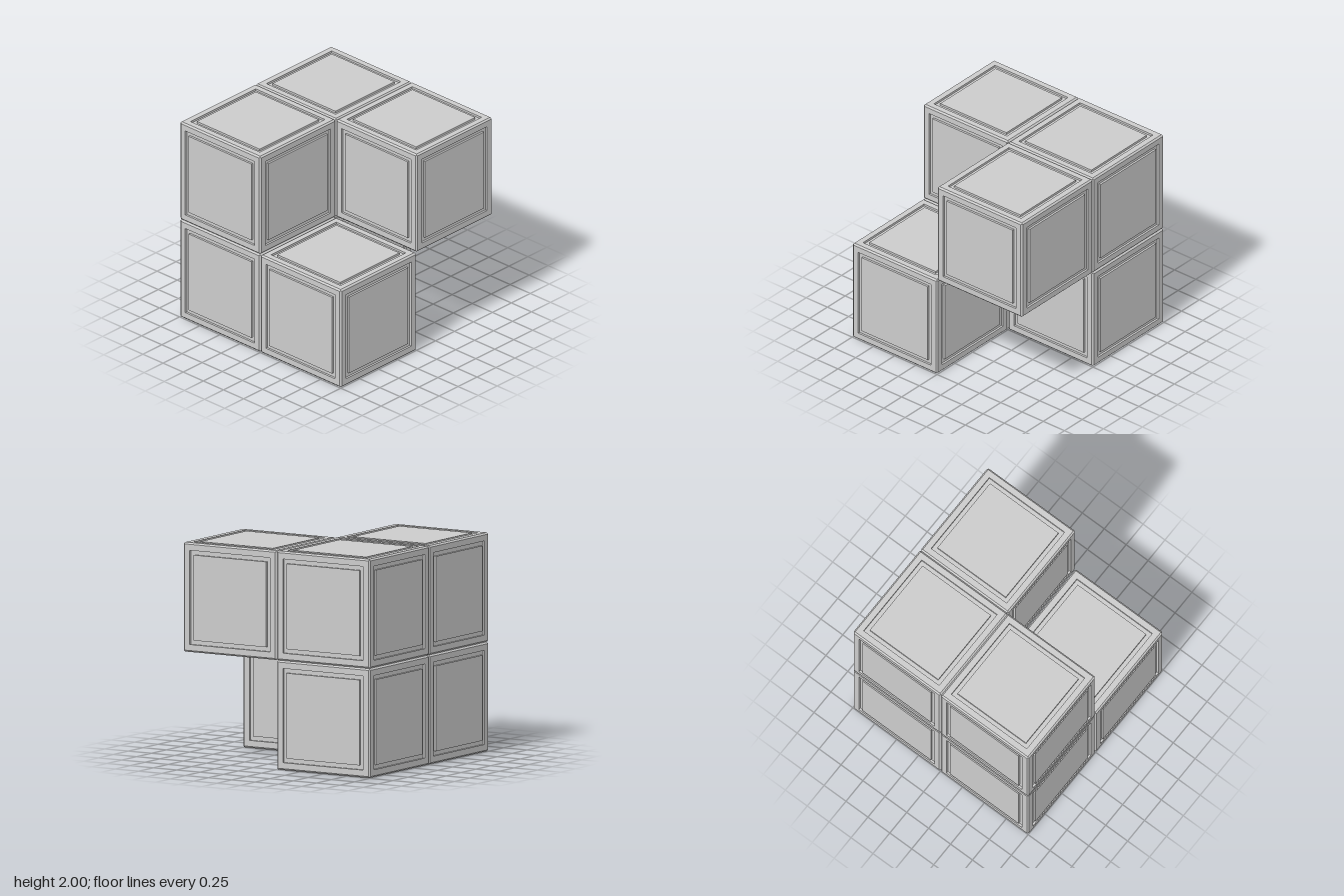
import * as THREE from 'three';

export function createModel() {
  const model = new THREE.Group();
  const material = new THREE.MeshStandardMaterial({ color: 0xcccccc, flatShading: true });

  // One cube side as a four-sided lathe: [half width, height] from chamfer to panel centre
  const profile = [
    [0.4925, 0.4925], // middle of the edge chamfer
    [0.485, 0.5],
    [0.43, 0.5], // frame
    [0.43, 0.48], // groove
    [0.39, 0.48],
    [0.39, 0.5], // panel
    [0, 0.5],
  ].map(([w, h]) => new THREE.Vector2(w * Math.SQRT2, h));
  const sideGeometry = new THREE.LatheGeometry(profile, 4, Math.PI / 4);

  const quarter = Math.PI / 2;
  const sides = {
    topSide: [0, 0],
    frontSide: [quarter, 0],
    bottomSide: [2 * quarter, 0],
    backSide: [-quarter, 0],
    leftSide: [0, -quarter],
    rightSide: [0, quarter],
  };

  function makeCube(name, x, y, z) {
    const cube = new THREE.Group();
    cube.name = name;
    cube.position.set(x, y, z);
    for (const [sideName, [rx, rz]] of Object.entries(sides)) {
      const side = new THREE.Mesh(sideGeometry, material);
      side.name = sideName;
      side.rotation.set(rx, 0, rz);
      cube.add(side);
    }
    model.add(cube);
  }

  // Six cubes of a 2 x 2 x 2 block; two diagonal front places stay empty
  makeCube('lowerBackRightCube', -0.5, 0.5, -0.5);
  makeCube('lowerBackLeftCube', 0.5, 0.5, -0.5);
  makeCube('lowerFrontRightCube', -0.5, 0.5, 0.5);
  makeCube('upperBackRightCube', -0.5, 1.5, -0.5);
  makeCube('upperBackLeftCube', 0.5, 1.5, -0.5);
  makeCube('upperFrontLeftCube', 0.5, 1.5, 0.5);

  return model;
}
